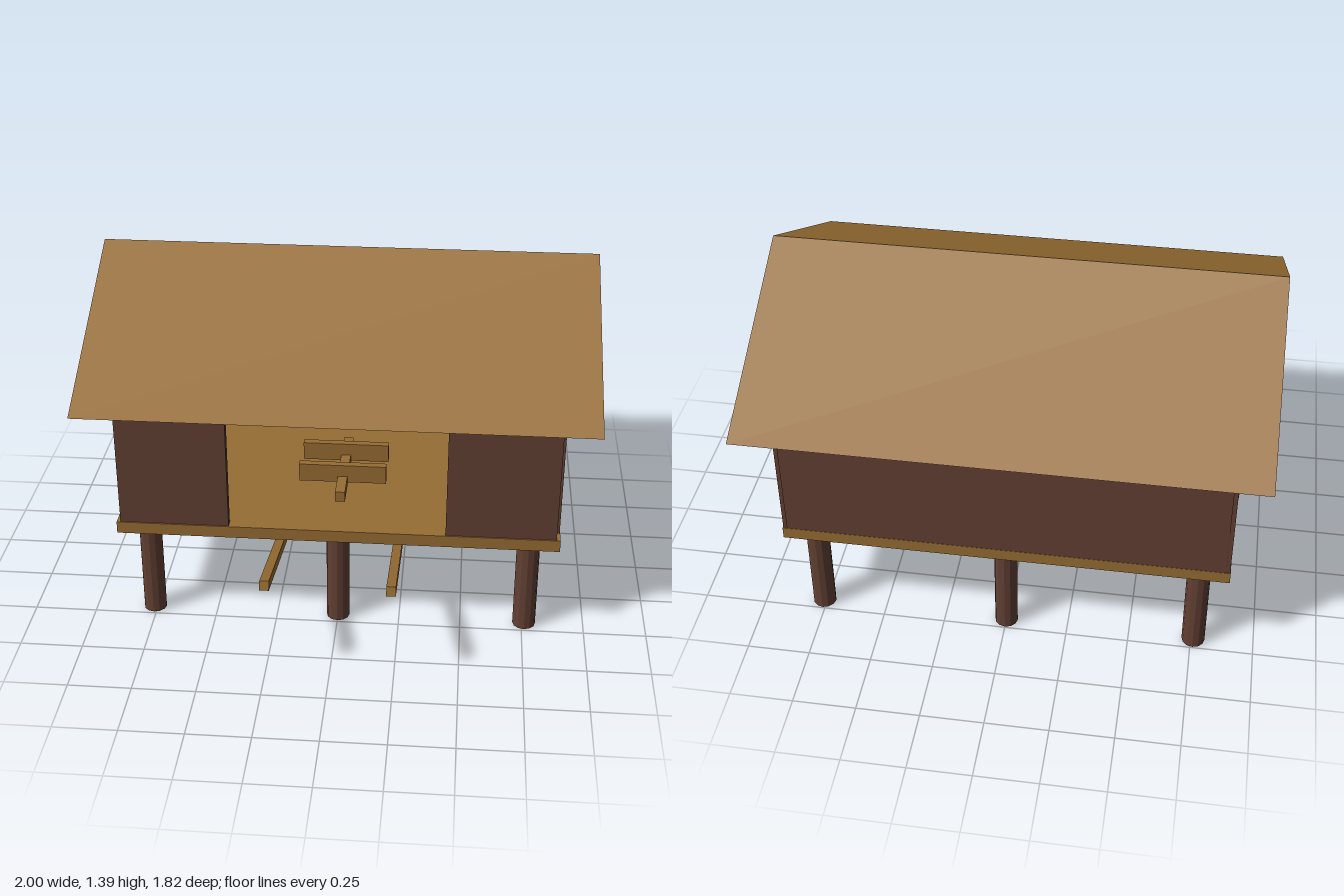
import * as THREE from 'three';

const wood = new THREE.MeshStandardMaterial({ color: 0x976d33 });
wood.name = 'light wood';
const darkWood = new THREE.MeshStandardMaterial({ color: 0x623f33 });
darkWood.name = 'dark wood';

export function createModel() {
  const model = new THREE.Group();
  model.name = 'stiltHut';

  function add(name, geometry, material) {
    const mesh = new THREE.Mesh(geometry, material);
    mesh.name = name;
    model.add(mesh);
    return mesh;
  }

  // Box given by its extents on each axis
  function block(name, material, [x0, x1], [y0, y1], [z0, z1]) {
    const mesh = add(name, new THREE.BoxGeometry(x1 - x0, y1 - y0, z1 - z0), material);
    mesh.position.set((x0 + x1) / 2, (y0 + y1) / 2, (z0 + z1) / 2);
    return mesh;
  }

  // Square beam running between two points
  function beam(name, material, from, to, width, depth) {
    const a = new THREE.Vector3(...from), b = new THREE.Vector3(...to);
    const mesh = add(name, new THREE.BoxGeometry(width, depth, a.distanceTo(b)), material);
    mesh.position.copy(a).add(b).multiplyScalar(0.5);
    mesh.lookAt(b);
    return mesh;
  }

  // Stilts
  const stilt = new THREE.CylinderGeometry(0.046, 0.046, 0.4, 12).toNonIndexed();
  stilt.computeVertexNormals();
  for (const x of [-0.76, 0, 0.76]) {
    for (const z of [0.445, -0.7]) add('stilt', stilt, darkWood).position.set(x, 0.2, z);
  }

  // Floor
  block('floor', wood, [-0.88, 0.88], [0.395, 0.445], [-0.766, 0.517]);

  // Walls, with a wide opening at the front
  block('backWall', darkWood, [-0.862, 0.862], [0.445, 0.975], [-0.765, -0.73]);
  for (const s of [-1, 1]) {
    const side = [s * 0.842, s * 0.878].sort((a, b) => a - b);
    block('sideWall', darkWood, side, [0.445, 0.978], [-0.761, 0.459]);
    const front = [s * 0.43, s * 0.865].sort((a, b) => a - b);
    block('frontPanel', darkWood, front, [0.445, 0.98], [0.478, 0.512]);
  }
  block('lintel', wood, [-0.572, 0.572], [0.927, 0.98], [0.468, 0.517]);

  // Shutter on the left-hand end at -x
  block('shutter', darkWood, [-0.89, -0.876], [0.54, 0.82], [-0.435, 0.02]);

  // Gable roof, a solid prism along x
  const gable = new THREE.Shape([
    new THREE.Vector2(-0.655, 0.98),
    new THREE.Vector2(0.91, 0.98),
    new THREE.Vector2(0.128, 1.393),
  ]);
  const roof = new THREE.ExtrudeGeometry(gable, { depth: 2, bevelEnabled: false });
  roof.rotateY(Math.PI / 2).translate(-1, 0, 0);
  add('roof', roof, wood);

  // Two planks resting on a short bar inside
  for (const z of [0.03, 0.21]) {
    block('innerPlank', wood, [-0.178, 0.178], [0.5, 0.577], [z - 0.015, z + 0.015]);
  }
  block('innerBar', wood, [-0.02, 0.02], [0.482, 0.526], [-0.11, 0.35]);

  // Sloping poles under the floor
  for (const x of [-0.238, 0.238]) {
    beam('slopingPole', wood, [x, 0.183, -0.108], [x, 0.436, 0.903], 0.036, 0.038);
  }

  // Thin poles leaning on the end at +x
  for (const z of [-0.356, -0.426]) {
    beam('leaningPole', wood, [0.893, 0.385, z], [0.877, 0.94, z - 0.114], 0.014, 0.014);
  }

  return model;
}
